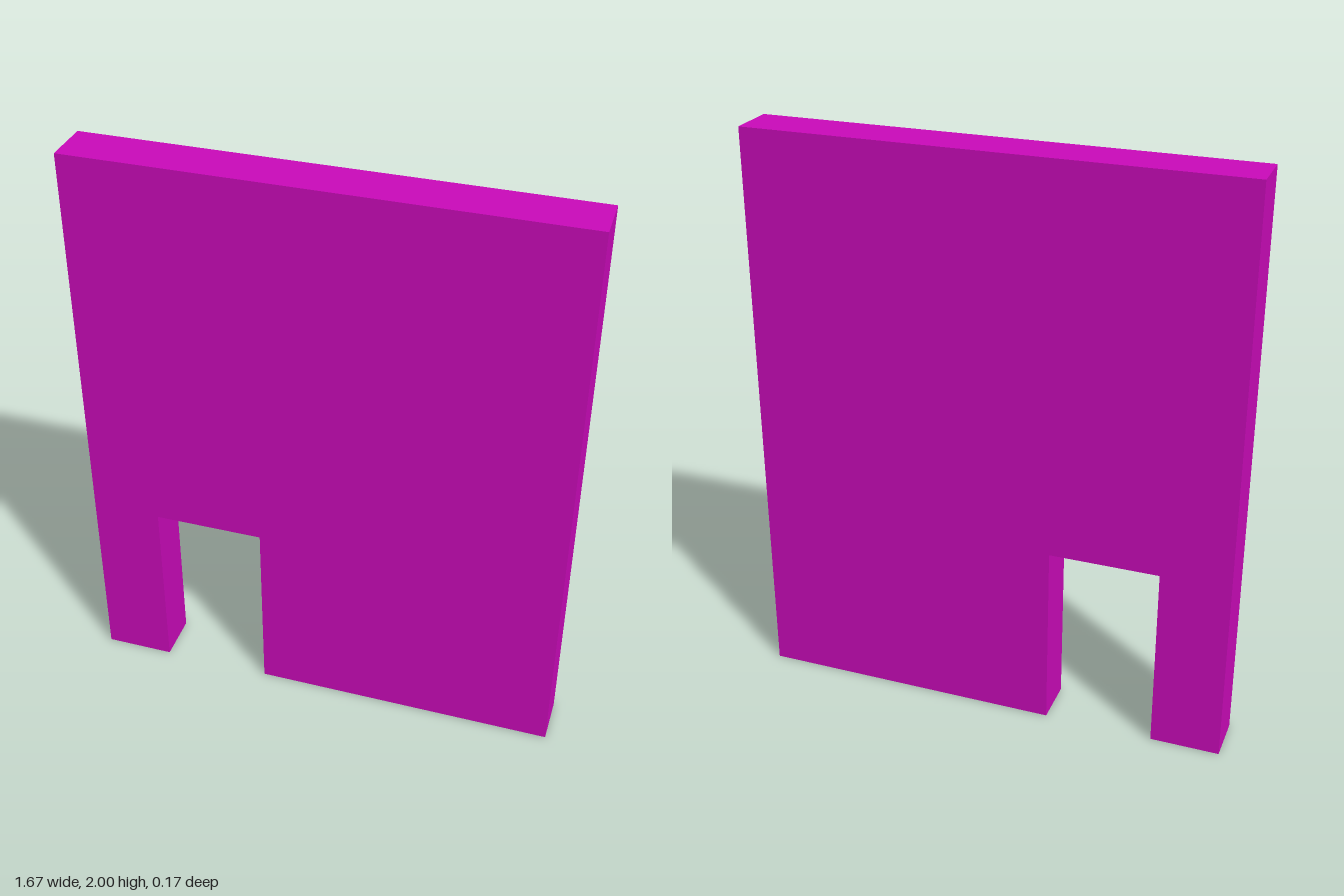
import * as THREE from 'three';

const WIDTH = 1.667, HEIGHT = 2, DEPTH = 0.167;
const DOOR = { left: -0.595, right: -0.217, top: 0.655 };

export function createModel() {
  const group = new THREE.Group();
  group.name = 'wallWithDoorway';

  // Wall outline, notched at the base by the doorway
  const w = WIDTH / 2;
  const outline = new THREE.Shape([
    [-w, 0], [DOOR.left, 0], [DOOR.left, DOOR.top], [DOOR.right, DOOR.top],
    [DOOR.right, 0], [w, 0], [w, HEIGHT], [-w, HEIGHT],
  ].map(([x, y]) => new THREE.Vector2(x, y)));

  // Slab of even thickness, centred on z
  const geometry = new THREE.ExtrudeGeometry(outline, { depth: DEPTH, bevelEnabled: false });
  geometry.translate(0, 0, -DEPTH / 2);

  const wall = new THREE.Mesh(geometry, new THREE.MeshStandardMaterial({ color: 0xcc0abb }));
  wall.name = 'wall';
  group.add(wall);
  return group;
}
